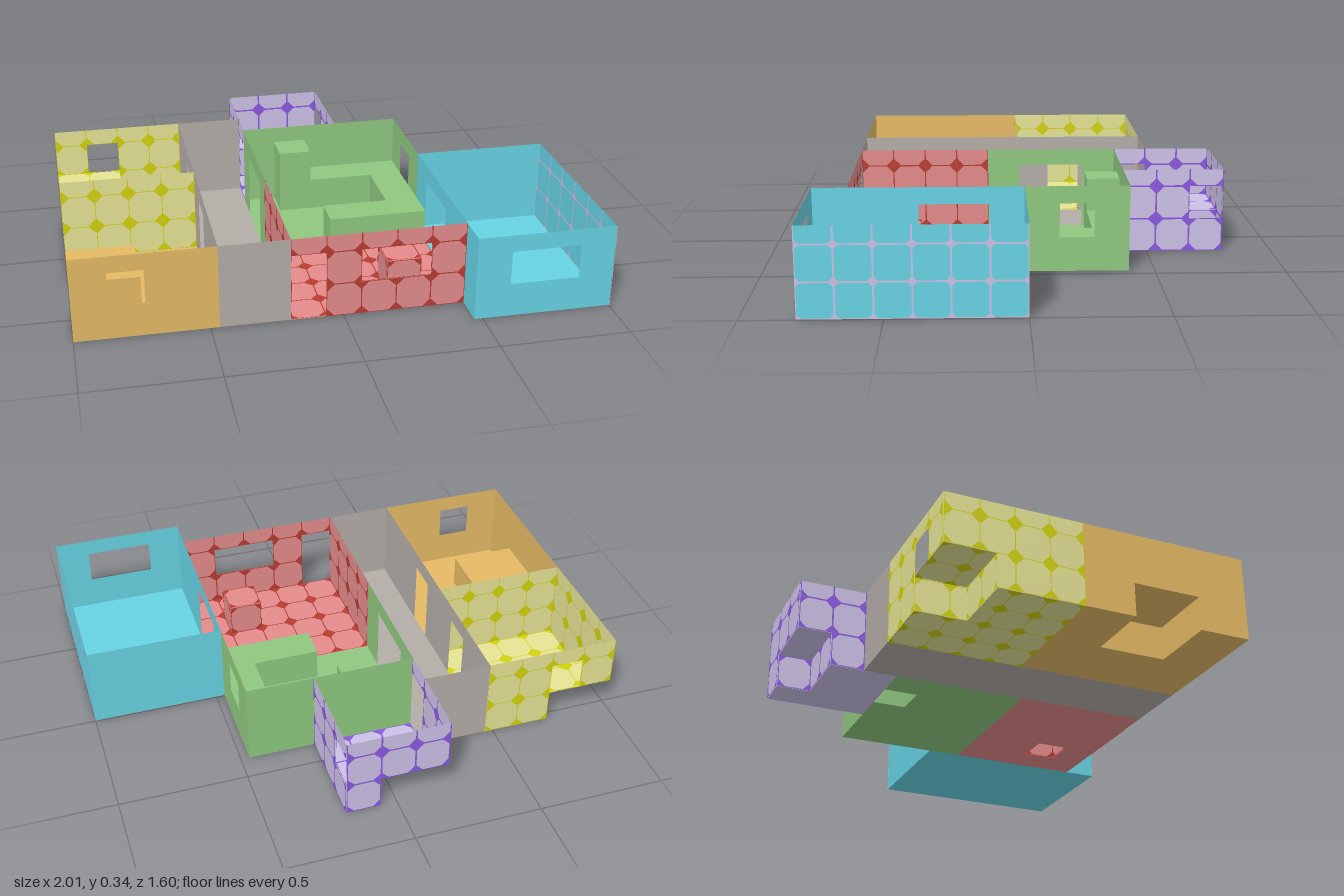
import * as THREE from 'three';
import { mergeGeometries } from 'three/addons/utils/BufferGeometryUtils.js';

// Plan units: the house is 15 units wide, walls are 2.5 units high.
const SCALE = 2 / 15, H = 2.5;

function material(name, color) {
  const m = new THREE.MeshStandardMaterial({ color, side: THREE.DoubleSide });
  m.name = name;
  return m;
}

const lavender = material('lavender', 0xcdc2e8), cyan = material('cyan', 0x67d3e4);

// Surface finishes; tiled ones have grout lines of half width w and corner ornaments of radius r.
const FINISH = {
  yellow: { base: material('pale yellow', 0xe5e495), tile: material('strong yellow', 0xd2d20c), w: 0.012, r: 0.23 },
  orange: { base: material('ochre', 0xe5ba64) },
  grey: { base: material('warm grey', 0xb4ada8) },
  green: { base: material('green', 0x8fc87f) },
  red: { base: material('rose', 0xe48b8b), tile: material('dark red', 0xb83c32), w: 0.018, r: 0.22 },
  cyan: { base: cyan },
  cyanTile: { base: cyan, tile: lavender, w: 0.025, r: 0.13 },
  purple: { base: lavender, tile: material('violet', 0x8b58e0), w: 0.025, r: 0.22 },
};

// Turns a flat XY geometry to face the given axis.
function orient(g, axis, pos) {
  if (axis === 'x') g.rotateY(-Math.PI / 2).translate(pos, 0, 0);
  else if (axis === 'y') g.rotateX(Math.PI / 2).translate(0, pos, 0);
  else g.translate(0, 0, pos);
  return g;
}

// One quarter of a tile joint: two half grout lines and a quarter ornament.
function joint(a, b, sa, sb, { w, r }) {
  const k = r * 0.55;
  const pts = [[0, 0], [0.5, 0], [0.5, w], [r, w], [k, k], [w, r], [w, 0.5], [0, 0.5]];
  return new THREE.ShapeGeometry(new THREE.Shape(
    pts.map(([p, q]) => new THREE.Vector2(a + sa * p, b + sb * q))));
}

// Flat sheet [a0,b0,a1,b1] with rectangular openings and tile joints.
function panel(group, name, finish, axis, pos, [a0, b0, a1, b1], holes = []) {
  const style = FINISH[finish];
  const cuts = (lo, hi, i) => [...new Set([lo, hi, ...holes.flatMap(h => [h[i], h[i + 2]])])]
    .filter(v => v >= lo && v <= hi).sort((p, q) => p - q);
  const as = cuts(a0, a1, 0), bs = cuts(b0, b1, 1);
  const solid = (a, b) => a > a0 && a < a1 && b > b0 && b < b1 &&
    !holes.some(h => a > h[0] && a < h[2] && b > h[1] && b < h[3]);
  const cells = [];
  for (let i = 0; i + 1 < as.length; i++) for (let j = 0; j + 1 < bs.length; j++) {
    const a = (as[i] + as[i + 1]) / 2, b = (bs[j] + bs[j + 1]) / 2;
    if (solid(a, b))
      cells.push(new THREE.PlaneGeometry(as[i + 1] - as[i], bs[j + 1] - bs[j]).translate(a, b, 0));
  }
  const sheet = new THREE.Mesh(orient(mergeGeometries(cells), axis, pos), style.base);
  sheet.name = name;
  group.add(sheet);

  if (!style.tile) return;
  const offsets = axis === 'y' && finish !== 'yellow' ? [0.02] : [-0.02, 0.02];
  const joints = [];
  for (let a = a0; a <= a1; a++) for (let b = b0; b <= b1; b++)
    for (const sa of [-1, 1]) for (const sb of [-1, 1]) {
      if (!solid(a + sa * 0.25, b + sb * 0.25)) continue;
      for (const off of offsets) joints.push(orient(joint(a, b, sa, sb, style), axis, pos + off));
    }
  const tiles = new THREE.Mesh(mergeGeometries(joints), style.tile);
  tiles.name = name + 'Tiles';
  group.add(tiles);
}

// Hollow furniture block: a top plus the sides that face the room.
function block(parent, name, finish, [x0, z0, x1, z1], h, sides) {
  const g = new THREE.Group();
  g.name = name;
  panel(g, name + 'Top', finish, 'y', h, [x0, z0, x1, z1]);
  for (const s of sides) {
    if (s === 'left') panel(g, name + 'Side', finish, 'x', x1, [z0, 0, z1, h]);
    if (s === 'right') panel(g, name + 'Side', finish, 'x', x0, [z0, 0, z1, h]);
    if (s === 'front') panel(g, name + 'Front', finish, 'z', z1, [x0, 0, x1, h]);
    if (s === 'back') panel(g, name + 'Back', finish, 'z', z0, [x0, 0, x1, h]);
  }
  parent.add(g);
}

export function createModel() {
  const house = new THREE.Group();
  house.name = 'house';

  const room = (name, finish, floor, floorHoles, walls) => {
    const g = new THREE.Group();
    g.name = name;
    panel(g, name + 'Floor', finish, 'y', 0, floor, floorHoles);
    for (const [axis, pos, from, to, holes, wallFinish = finish] of walls)
      panel(g, name + 'Wall', wallFinish, axis, pos, [from, 0, to, H], holes);
    house.add(g);
    return g;
  };

  // Back bedroom
  const backBed = [-7.5, -4, -5.5, -2.5];
  const backBedroom = room('backBedroom', 'yellow', [-7.5, -4, -3.5, 0], [backBed], [
    ['z', -4, -7.5, -3.5, [[-7.5, 0, -5.5, 1], [-6.5, 1, -5.5, 2]]],
    ['x', -7.5, -4, 0, [[-4, 0, -2.5, 1]]],
    ['z', 0, -7.5, -3.5],
  ]);
  block(backBedroom, 'backBed', 'yellow', backBed, 1, ['left', 'front']);

  // Front bedroom
  const frontBed = [-7.5, 1.5, -5.5, 3.5];
  const frontBedroom = room('frontBedroom', 'orange', [-7.5, 0, -3.5, 5], [frontBed], [
    ['z', 5, -7.5, -3.5, [[-6.5, 1, -5.5, 2]]],
    ['x', -7.5, 0, 5, [[1.5, 0, 3.5, 1]]],
  ]);
  block(frontBedroom, 'frontBed', 'orange', frontBed, 1, ['left', 'front', 'back']);

  // Hall, with doors to both bedrooms
  room('hall', 'grey', [-3.5, -4, -1.5, 5], [], [
    ['z', -4, -3.5, -1.5],
    ['z', 5, -3.5, -1.5],
    ['x', -3.5, -4, 5, [[-2, 0, -1, 2], [1, 0, 2, 2]]],
  ]);

  // Bathroom
  const tub = [-1.5, -6, 0.5, -5];
  const bathroom = room('bathroom', 'purple', [-1.5, -6, 1.5, -3], [tub], [
    ['z', -6, -1.5, 1.5, [[-1.5, 0, 0.5, 1]]],
    ['x', 1.5, -6, -3, [[-6, 1, -5, 2]]],
    ['x', -1.5, -6, -3, [[-6, 0, -5, 1], [-4, 0, -3, 2]]],
  ]);
  block(bathroom, 'bathtub', 'purple', tub, 1, ['left', 'front']);

  // Kitchen, open to the living room
  const fridge = [-0.5, -3, 0.5, -2];
  const kitchen = room('kitchen', 'green', [-1.5, -3, 3.5, 1], [fridge], [
    ['z', -3, -1.5, 3.5],
    ['x', 3.5, -3, 0, [[-2, 1, -1, 2]]],
    ['x', -1.5, -3, 1, [[-2, 0, 0, 2]]],
  ]);
  block(kitchen, 'fridge', 'green', fridge, 2, ['left', 'right', 'front']);
  block(kitchen, 'backCounter', 'green', [0.5, -3, 3.5, -2], 1, ['front']);
  block(kitchen, 'sideCounter', 'green', [2.5, -2, 3.5, 0], 1, ['right']);
  block(kitchen, 'barCounter', 'green', [0.5, 0, 3.5, 1], 1, ['right', 'front', 'back']);

  // Living room, with front door and window
  const table = [1.5, 3, 2.5, 4];
  const living = room('livingRoom', 'red', [-1.5, 1, 3.5, 5], [table], [
    ['z', 5, -1.5, 3.5, [[-1.5, 0, -0.5, 2], [0.5, 1, 2.5, 2]]],
    ['x', -1.5, 1, 5],
  ]);
  block(living, 'table', 'red', table, 1, ['left', 'right', 'front', 'back']);

  // Side room, with a door to the living room and a tiled outer wall
  room('sideRoom', 'cyan', [3.5, 0, 7.5, 6], [], [
    ['z', 6, 3.5, 7.5, [[4.5, 1, 6.5, 2]]],
    ['z', 0, 3.5, 7.5],
    ['x', 7.5, 0, 6, [], 'cyanTile'],
    ['x', 3.5, 0, 6, [[1, 0, 3, 2]]],
  ]);

  house.scale.setScalar(SCALE);
  const model = new THREE.Group();
  model.name = 'floorPlanModel';
  model.add(house);
  return model;
}
